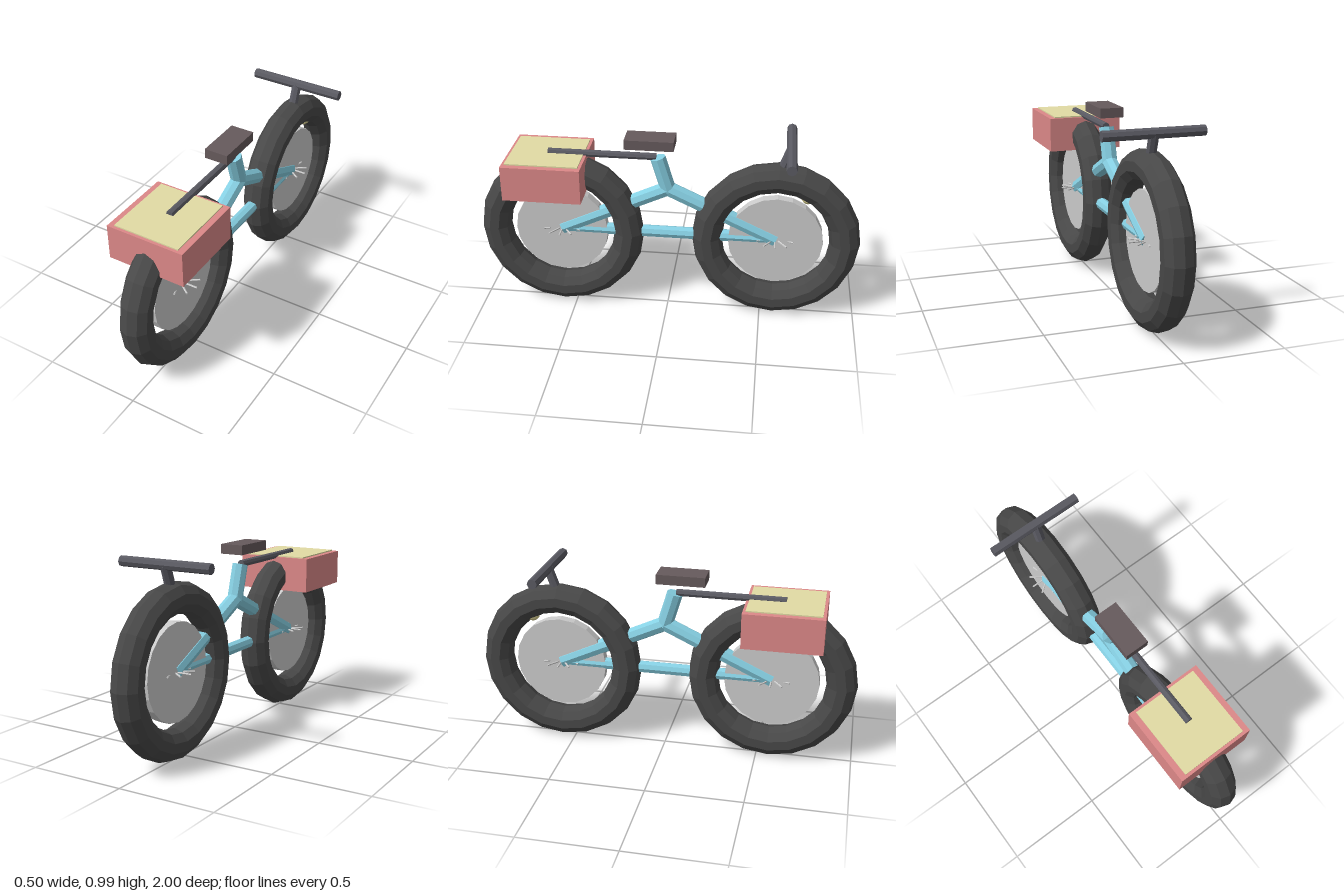
import * as THREE from 'three';

const mat = (color) => new THREE.MeshStandardMaterial({ color, flatShading: true });
const MATS = {
  tire: mat(0x484848), grey: mat(0xcccccc), frame: mat(0x86cfe2), bar: mat(0x5a5a62),
  seat: mat(0x665a5c), box: mat(0xdc8888), lid: mat(0xe2dba4), lamp: mat(0xd8cf90),
};

export function createModel() {
  const model = new THREE.Group();

  const add = (name, geometry, material, x, y, z, parent = model) => {
    const mesh = new THREE.Mesh(geometry, material);
    mesh.name = name;
    mesh.position.set(x, y, z);
    parent.add(mesh);
    return mesh;
  };

  // Straight round bar between two points
  const rod = (name, a, b, radius, material, parent = model, sides = 8) => {
    const from = new THREE.Vector3(...a), to = new THREE.Vector3(...b);
    const dir = to.clone().sub(from);
    const mid = from.clone().add(to).multiplyScalar(0.5);
    const mesh = add(name, new THREE.CylinderGeometry(radius, radius, dir.length(), sides),
      material, mid.x, mid.y, mid.z, parent);
    mesh.quaternion.setFromUnitVectors(new THREE.Vector3(0, 1, 0), dir.normalize());
    return mesh;
  };

  const axleY = 0.437, axleZ = 0.563;

  // Wheels: faceted tyre, solid disc and a flat star of hub spokes
  for (const [side, z] of [['rear', axleZ], ['front', -axleZ]]) {
    const wheel = new THREE.Group();
    wheel.name = side + 'Wheel';
    wheel.position.set(0, axleY, z);
    model.add(wheel);
    add('tire', new THREE.TorusGeometry(0.358, 0.079, 10, 20).rotateY(Math.PI / 2), MATS.tire, 0, 0, 0, wheel);
    add('disc', new THREE.CylinderGeometry(0.246, 0.246, 0.05, 20).rotateZ(Math.PI / 2), MATS.grey, 0, 0, 0, wheel);
    for (let i = 0; i < 10; i++) {
      const a = (i / 10) * Math.PI * 2;
      rod('spoke', [0, 0, 0], [Math.cos(a) * 0.1, 0, Math.sin(a) * 0.1], 0.005, MATS.grey, wheel, 6);
    }
    // Sloping frame tube from the axle to the middle joint
    rod(side + 'FrameTube', [0, axleY, z], [0, 0.7, 0], 0.04, MATS.frame);
  }

  // Remaining frame tubes
  rod('lowerTube', [0, axleY + 0.005, axleZ], [0, axleY + 0.005, -axleZ], 0.032, MATS.frame);
  rod('seatTube', [0, 0.69, -0.003], [0, 0.872, 0.052], 0.041, MATS.frame);

  // Seat
  add('seat', new THREE.BoxGeometry(0.124, 0.05, 0.25), MATS.seat, 0, 0.96, 0.09);

  // Handlebar and stem
  rod('handlebar', [-0.252, 0.957, -0.617], [0.252, 0.957, -0.617], 0.026, MATS.bar);
  rod('stem', [0, 0.8, -0.562], [0, 0.957, -0.617], 0.026, MATS.bar);

  // Headlamp tucked inside the front tyre
  add('headlamp', new THREE.SphereGeometry(0.038, 8, 6), MATS.lamp, 0, 0.695, -0.715);

  // Cargo box, its lid and the carrier bars
  add('cargoBox', new THREE.BoxGeometry(0.404, 0.183, 0.402), MATS.box, 0, 0.777, 0.618);
  add('cargoLid', new THREE.BoxGeometry(0.342, 0.02, 0.372), MATS.lid, 0, 0.865, 0.618);
  rod('carrierBar', [0, 0.876, 0.06], [0, 0.876, 0.616], 0.019, MATS.bar);
  rod('carrierPost', [0, 0.677, 0.618], [0, 0.86, 0.618], 0.019, MATS.bar);

  return model;
}
